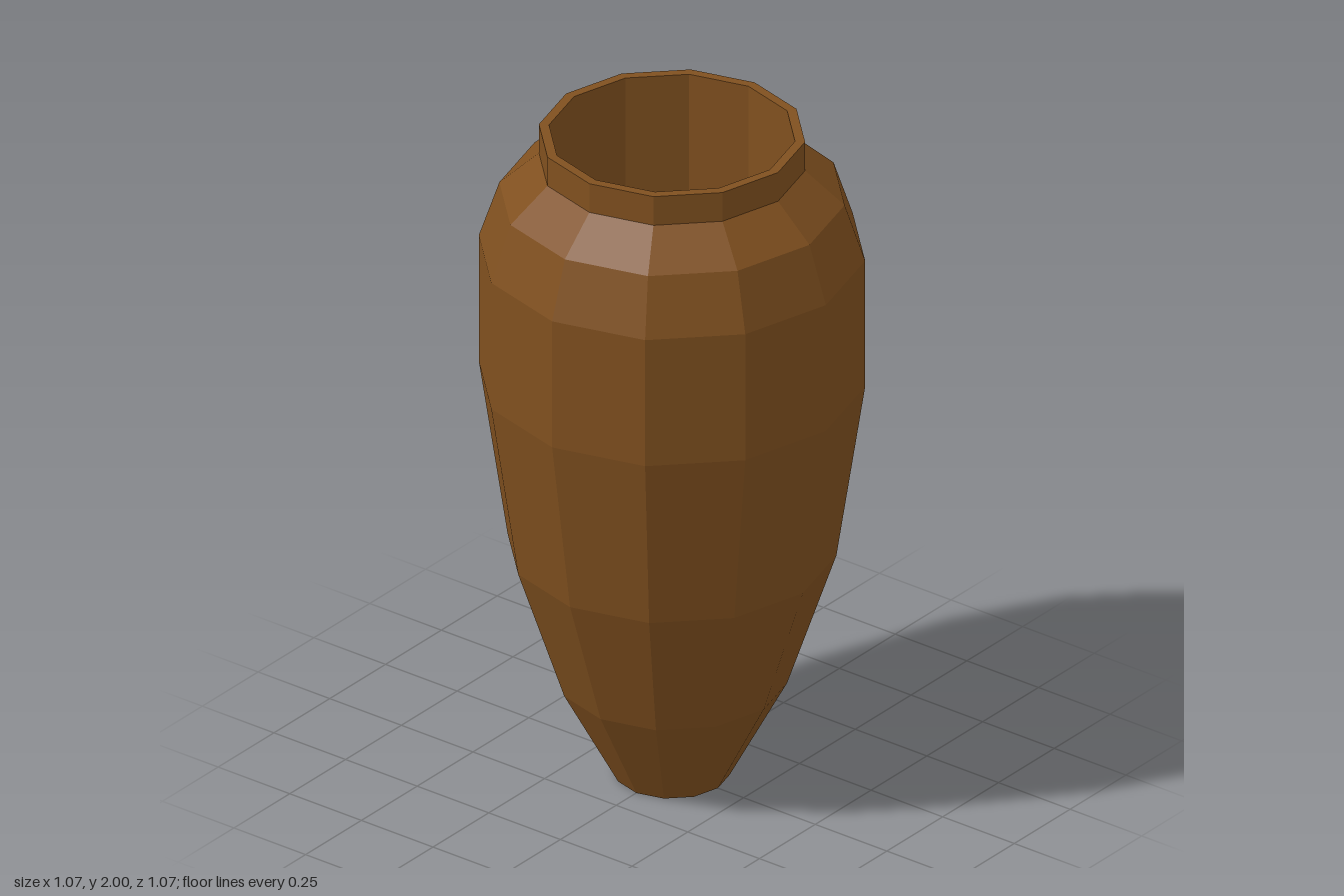
import * as THREE from 'three';

const SIDES = 12;

export function createModel() {
  const group = new THREE.Group();
  group.name = 'vase';
  const clay = new THREE.MeshStandardMaterial({ color: 0x80501f, flatShading: true });

  // Turns a [radius, height] profile into a faceted surface
  const turn = (name, profile) => {
    const points = profile.map(([r, y]) => new THREE.Vector2(r, y));
    const mesh = new THREE.Mesh(new THREE.LatheGeometry(points, SIDES), clay);
    mesh.name = name;
    group.add(mesh);
  };

  // Closed foot, tapering belly and shoulder
  turn('body', [
    [0, 0], [0.16, 0], [0.32, 0.3], [0.457, 0.71],
    [0.537, 1.245], [0.537, 1.64], [0.48, 1.81], [0.37, 1.91],
  ]);

  // Upright collar with a thin flat lip
  turn('neck', [[0.37, 1.91], [0.37, 2], [0.342, 2]]);

  // Straight inner wall down to a flat floor
  turn('hollow', [[0.342, 2], [0.342, 1.25], [0, 1.25]]);

  return group;
}
